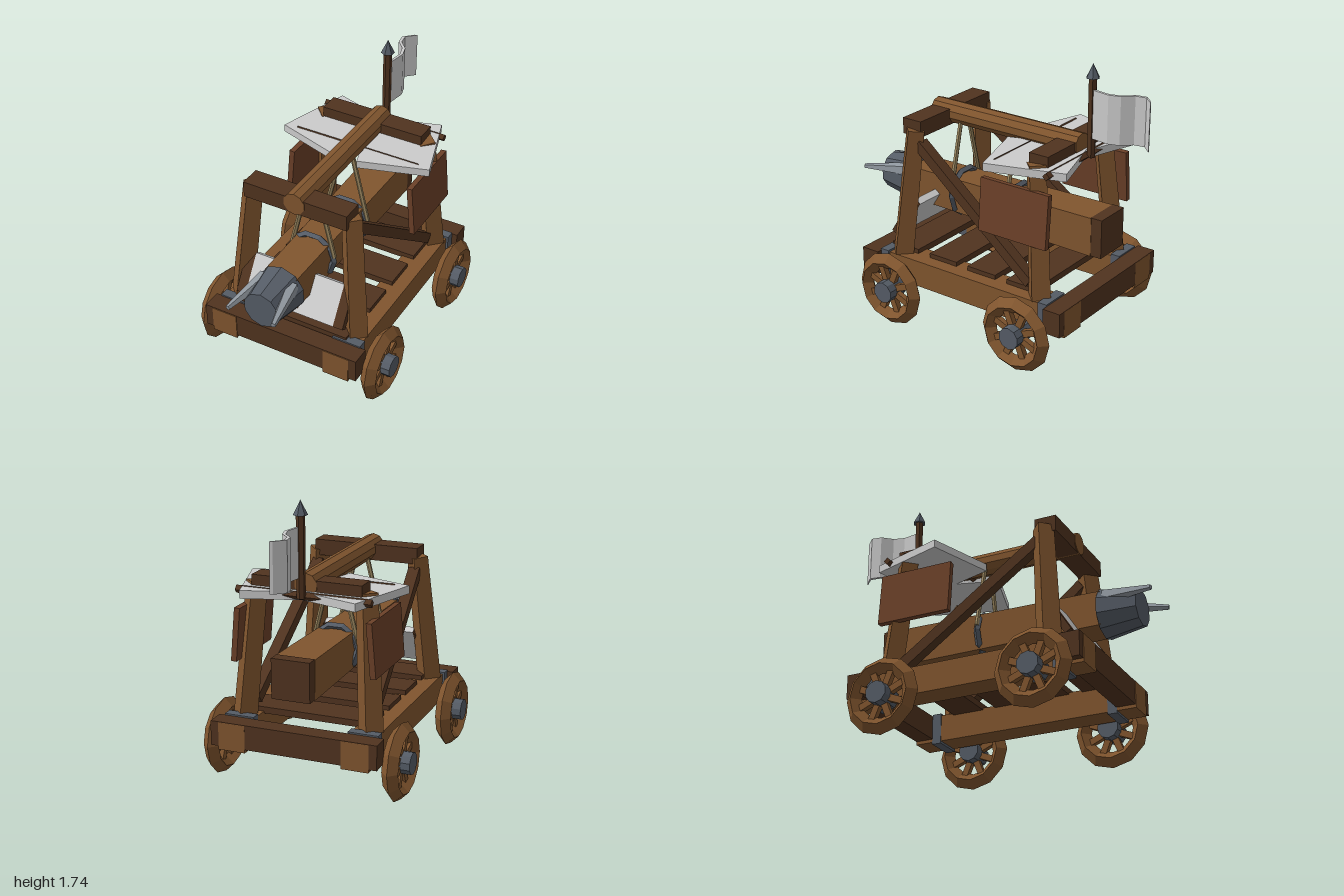
import * as THREE from 'three';

const mat = (color) => new THREE.MeshStandardMaterial({ color, flatShading: true, side: THREE.DoubleSide });
const wood = mat(0x80552e), darkWood = mat(0x50331f), panelWood = mat(0x6b4028);
const metal = mat(0x555c66), tuskMetal = mat(0x90979f), rope = mat(0x9c8860), grey = mat(0xcccccc);
const V = (x, y, z) => new THREE.Vector3(x, y, z);

export function createModel() {
  const root = new THREE.Group();

  const add = (name, geo, material, x = 0, y = 0, z = 0, parent = root) => {
    const m = new THREE.Mesh(geo, material);
    m.name = name;
    m.position.set(x, y, z);
    parent.add(m);
    return m;
  };
  // Box given by its limits
  const box = (name, material, x0, x1, y0, y1, z0, z1) =>
    add(name, new THREE.BoxGeometry(x1 - x0, y1 - y0, z1 - z0), material, (x0 + x1) / 2, (y0 + y1) / 2, (z0 + z1) / 2);
  // Tapered bar between two points
  const bar = (name, material, a, b, ra, rb, sides) => {
    const m = add(name, new THREE.CylinderGeometry(rb, ra, a.distanceTo(b), sides), material);
    m.position.copy(a).add(b).multiplyScalar(0.5);
    m.quaternion.setFromUnitVectors(V(0, 1, 0), b.clone().sub(a).normalize());
    return m;
  };

  // Wheel: diamond-section rim, eight spokes and a hub
  const wheel = (x, z) => {
    const g = new THREE.Group();
    g.name = 'wheel';
    g.position.set(x, 0.24, z);
    g.rotation.y = Math.PI / 2;
    add('rim', new THREE.TorusGeometry(0.185, 0.05, 4, 12), wood, 0, 0, 0, g);
    for (let i = 0; i < 4; i++) {
      const s = add('spoke', new THREE.BoxGeometry(0.33, 0.04, 0.035), wood, 0, 0, 0, g);
      s.rotation.z = Math.PI / 8 + (i * Math.PI) / 4;
    }
    add('hub', new THREE.CylinderGeometry(0.067, 0.067, 0.15, 10), metal, 0, 0, 0, g).rotation.x = Math.PI / 2;
    root.add(g);
  };

  // Chassis
  box('frontBeam', darkWood, -0.515, 0.515, 0.28, 0.43, 0.585, 0.705);
  box('rearBeam', darkWood, -0.515, 0.515, 0.28, 0.43, -0.765, -0.65);
  for (const z of [0.475, 0.18, -0.11, -0.4]) box('floorPlank', darkWood, -0.38, 0.38, 0.415, 0.455, z - 0.103, z + 0.103);

  for (const s of [-1, 1]) {
    add('sideRail', new THREE.BoxGeometry(0.168, 0.168, 1.475), wood, s * 0.382, 0.343, -0.028);
    for (const z of [0.56, -0.62])
      add('metalStrap', new THREE.BoxGeometry(0.185, 0.195, 0.06), metal, s * 0.387, 0.342, z);
    for (const z of [0.45, -0.495]) wheel(s * 0.56, z);

    // Square legs turned on edge, leaning inwards
    bar('frontLeg', wood, V(s * 0.395, 0.42, 0.475), V(s * 0.325, 1.215, 0.415), 0.078, 0.068, 4);
    bar('rearLeg', wood, V(s * 0.395, 0.42, -0.545), V(s * 0.34, 1.215, -0.475), 0.078, 0.068, 4);

    // Diagonal brace from the front top to the rear foot
    const a = V(s * 0.32, 1.13, 0.385), b = V(s * 0.37, 0.49, -0.47);
    const brace = add('diagonalBrace', new THREE.BoxGeometry(0.07, 0.065, a.distanceTo(b)), darkWood);
    brace.position.copy(a).add(b).multiplyScalar(0.5);
    brace.lookAt(a);

    // Side panel following the slope of the legs
    const panel = add('sidePanel', new THREE.BoxGeometry(0.035, 0.325, 0.47), panelWood, s * 0.418, 0.917, -0.38);
    panel.rotation.z = s * 0.085;

    // Roof plates, turned so they fan out sideways
    add('roofPlate', new THREE.BoxGeometry(0.437, 0.048, 0.492), grey, s * 0.215, 1.182 + s * 0.001, -0.385)
      .rotation.y = s * 0.302;

    // Tusk on the ram head
    bar('tusk', tuskMetal, V(s * 0.09, 0.81, 0.69), V(s * 0.15, 0.78, 0.995), 0.045, 0.016, 5);

    // Ropes holding the ram
    for (const z of [0.298, -0.113])
      bar('rope', rope, V(s * 0.145, 0.77, z), V(s * 0.04, 1.2, z), 0.015, 0.015, 6);
  }

  // Top frame
  box('frontCrossbeam', darkWood, -0.338, 0.338, 1.175, 1.275, 0.365, 0.5);
  box('rearCrossbeam', darkWood, -0.338, 0.338, 1.175, 1.27, -0.55, -0.42);
  add('ridgeBeam', new THREE.CylinderGeometry(0.07, 0.07, 1.06, 10), wood, 0, 1.242, -0.025).rotation.x = Math.PI / 2;
  for (const z of [-0.235, -0.59])
    add('roofRod', new THREE.CylinderGeometry(0.024, 0.024, 0.83, 4), darkWood, 0, 1.187, z).rotation.z = Math.PI / 2;

  // Ram: square log that narrows to the front
  const log = new THREE.BoxGeometry(0.24, 0.24, 1.37);
  const p = log.attributes.position;
  for (let i = 0; i < p.count; i++)
    if (p.getZ(i) > 0) p.setXY(i, p.getX(i) * 0.88, p.getY(i) * 0.88);
  log.computeVertexNormals();
  add('ramLog', log, wood, 0, 0.74, -0.02);
  box('ramEndCap', darkWood, -0.118, 0.118, 0.623, 0.863, -0.775, -0.7);
  add('ramHead', new THREE.CylinderGeometry(0.115, 0.153, 0.23, 10), metal, 0, 0.74, 0.77).rotation.x = Math.PI / 2;
  for (const z of [0.298, -0.113])
    add('ramRing', new THREE.TorusGeometry(0.142, 0.021, 4, 10), metal, 0, 0.742, z);

  // Leaning front shield: grey plate with clipped wooden wings
  const shield = new THREE.Group();
  shield.name = 'frontShield';
  shield.position.set(0, 0.62, 0.505);
  shield.rotation.x = -0.56;
  root.add(shield);
  add('shieldPlate', new THREE.BoxGeometry(0.6, 0.26, 0.045), grey, 0, 0, 0, shield);
  for (const s of [-1, 1]) {
    const wing = new THREE.Shape([[0.3, -0.13], [0.363, -0.13], [0.363, 0.04], [0.3, 0.13]]
      .map(([x, y]) => new THREE.Vector2(s * x, y)));
    add('shieldWing', new THREE.ExtrudeGeometry(wing, { depth: 0.045, bevelEnabled: false }), darkWood, 0, 0, -0.0225, shield);
  }

  // Flag pole and waving flag
  add('flagPole', new THREE.CylinderGeometry(0.026, 0.026, 0.48, 6), darkWood, 0, 1.42, -0.615);
  add('poleTip', new THREE.ConeGeometry(0.042, 0.085, 6), metal, 0, 1.698, -0.615);
  const path = [[0.012, -0.63], [0.03, -0.74], [0.01, -0.81], [-0.045, -0.87], [-0.055, -0.935], [0.003, -0.993]];
  const outline = [...path.map(([x, z]) => new THREE.Vector2(x - 0.009, -z - 0.003)),
    ...path.slice().reverse().map(([x, z]) => new THREE.Vector2(x + 0.009, -z + 0.003))];
  const flag = add('flag', new THREE.ExtrudeGeometry(new THREE.Shape(outline), { depth: 0.29, bevelEnabled: false }), grey, 0, 1.3, 0);
  flag.rotation.x = -Math.PI / 2;

  return root;
}
